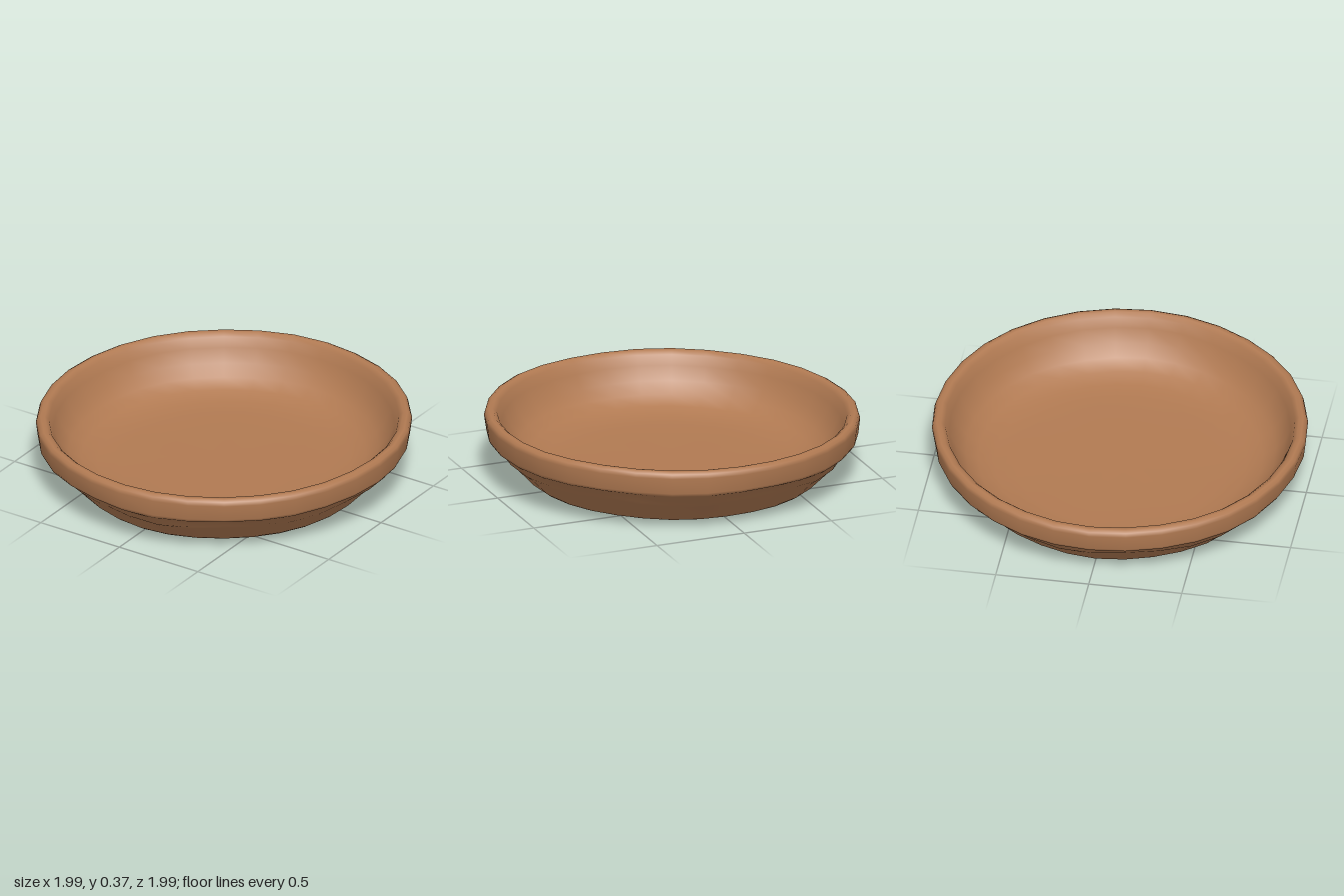
import * as THREE from 'three';
import { mergeVertices } from 'three/addons/utils/BufferGeometryUtils.js';

// [radius, height, hand-made unevenness] from the hollow under the base, over the lip, to the inner floor
const PROFILE = [
  [0, 0.06, 0], [0.35, 0.06, 0], [0.48, 0.058, 0.001], [0.55, 0.047, 0.003], [0.61, 0.017, 0.004],
  [0.66, 0.012, 0.003], [0.73, 0.011, 0], [0.77, 0.015, 0.002], [0.793, 0.032, 0.004],
  [0.885, 0.132, 0.009], [0.915, 0.158, 0.014], [0.942, 0.2, 0.01], [0.976, 0.22, 0.005],
  [0.986, 0.238, 0.003], [0.997, 0.325, 0.002], [0.99, 0.347, 0.002], [0.972, 0.358, 0.002],
  [0.95, 0.357, 0.002], [0.928, 0.338, 0.002], [0.907, 0.285, 0.003], [0.873, 0.21, 0.004],
  [0.822, 0.15, 0.004], [0.755, 0.109, 0.003], [0.67, 0.086, 0.002], [0.56, 0.077, 0.001],
  [0.35, 0.075, 0], [0, 0.075, 0],
];

export function createModel() {
  const group = new THREE.Group();
  group.name = 'shallowBowl';
  const clay = new THREE.MeshStandardMaterial({ color: 0xb17a52 });
  clay.name = 'terracotta';

  const points = PROFILE.map(([r, y]) => new THREE.Vector2(r, y));
  let geometry = new THREE.LatheGeometry(points, 32);

  // Uneven clay surface, and a slight lean towards the right side
  const position = geometry.attributes.position;
  for (let i = 0; i < position.count; i++) {
    const x = position.getX(i), y = position.getY(i), z = position.getZ(i);
    const angle = Math.atan2(z, x);
    const rough = PROFILE[i % PROFILE.length][2];
    const wave = Math.sin(angle * 5 + y * 9) * 0.6 + Math.sin(angle * 9 - y * 23) * 0.4;
    const scale = 1 + rough * wave;
    position.setXYZ(i, x * scale, y + rough * 0.7 * Math.sin(angle * 7 + 1) + 0.013 * x - 0.003 * z, z * scale);
  }

  // Weld the seam so that the shading runs smoothly all the way round
  geometry.deleteAttribute('uv');
  geometry.deleteAttribute('normal');
  geometry = mergeVertices(geometry, 1e-4);
  geometry.computeVertexNormals();

  const bowl = new THREE.Mesh(geometry, clay);
  bowl.name = 'bowl';
  group.add(bowl);
  return group;
}
